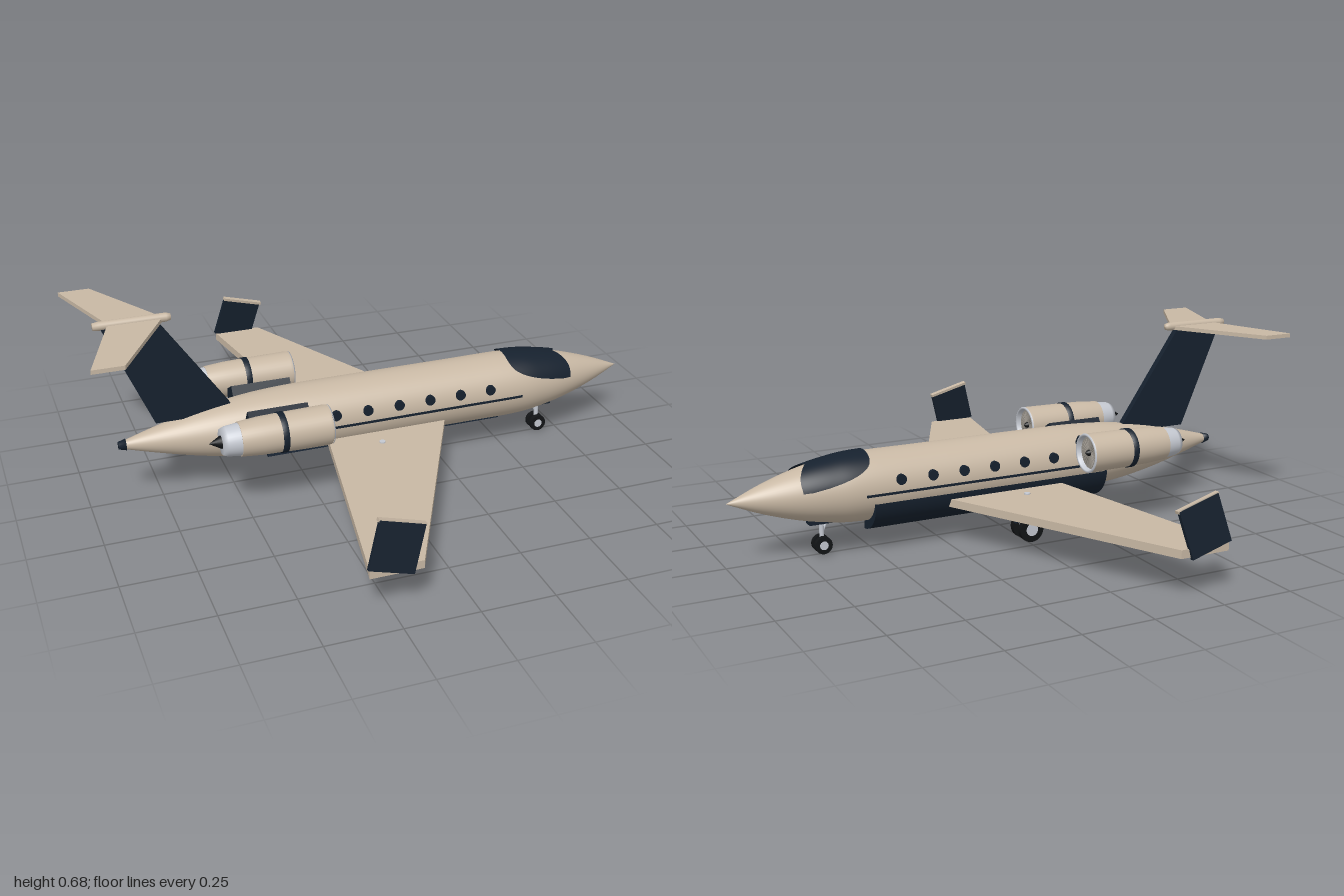
import * as THREE from 'three';

const mat = (color, side = THREE.FrontSide) => new THREE.MeshStandardMaterial({ color, side });
const tan = mat(0xc8b8a4), navy = mat(0x16212e), silver = mat(0xc4c8d0), black = mat(0x121416), grey = mat(0x9a948c);
const navyThin = mat(0x16212e, THREE.DoubleSide);
const AXIS_Y = 0.218;

export function createModel() {
  const model = new THREE.Group();
  model.name = 'businessJet';

  const add = (name, geo, material, x = 0, y = 0, z = 0, parent = model) => {
    const mesh = new THREE.Mesh(geo, material);
    mesh.name = name;
    mesh.position.set(x, y, z);
    parent.add(mesh);
    return mesh;
  };
  const box = (w, h, d) => new THREE.BoxGeometry(w, h, d);
  const vecs = (pts) => pts.map(([a, b]) => new THREE.Vector2(a, b));
  // Lathe along x from [x, radius] points running tail to nose
  const latheX = (pts, sides = 40) =>
    new THREE.LatheGeometry(pts.map(([x, r]) => new THREE.Vector2(r, x)), sides).rotateZ(-Math.PI / 2);
  const cylZ = (r, len, sides = 24) => new THREE.CylinderGeometry(r, r, len, sides).rotateX(Math.PI / 2);
  // Flat plate from [x, z] outline, hanging down from y = 0
  const plate = (pts, t) => new THREE.ExtrudeGeometry(new THREE.Shape(vecs(pts)),
    { depth: t, bevelEnabled: false }).rotateX(Math.PI / 2);
  // Round bar between two points
  const bar = (name, a, b, r, parent) => {
    const from = new THREE.Vector3(...a), to = new THREE.Vector3(...b);
    const dir = to.clone().sub(from), mid = from.clone().add(to).multiplyScalar(0.5);
    const m = add(name, new THREE.CylinderGeometry(r, r, dir.length(), 12), silver, mid.x, mid.y, mid.z, parent);
    m.quaternion.setFromUnitVectors(new THREE.Vector3(0, 1, 0), dir.normalize());
  };

  // Fuselage
  const hull = new THREE.SplineCurve(vecs([[-0.88, 0.012], [-0.75, 0.048], [-0.6, 0.083], [-0.45, 0.106],
    [-0.3, 0.116], [-0.1, 0.118], [0.3, 0.118], [0.54, 0.118], [0.65, 0.107], [0.76, 0.084], [0.88, 0.046], [0.99, 0.0005]]))
    .getPoints(66).map((p) => [p.x, p.y]);
  add('fuselage', latheX(hull, 48), tan, 0, AXIS_Y);
  add('tailTip', latheX([[-0.89, 0], [-0.89, 0.013], [-0.865, 0.02], [-0.865, 0]], 20), navy, 0, AXIS_Y);
  const hullRadius = (x) => {
    const i = Math.max(1, hull.findIndex((p) => p[0] >= x));
    const [a, b] = [hull[i - 1], hull[i]];
    return a[1] + (b[1] - a[1]) * (x - a[0]) / (b[0] - a[0]);
  };

  // Windscreen wrapped over the nose, its rear edge sweeping forward down the sides
  const screen = new THREE.PlaneGeometry(1, 1, 36, 14);
  const sp = screen.attributes.position;
  for (let i = 0; i < sp.count; i++) {
    const u = sp.getX(i) * 2, v = sp.getY(i) + 0.5, phi = u * 1.3;
    const back = 0.515 + 0.21 * Math.pow(Math.abs(u), 5);
    const front = 0.72 + 0.04 * Math.sin(Math.min(1, Math.abs(u) * 1.1) * Math.PI * 0.6);
    const x = back + (front - back) * v, r = hullRadius(x) + 0.007;
    sp.setXYZ(i, x, AXIS_Y + r * Math.cos(phi), r * Math.sin(phi));
  }
  screen.computeVertexNormals();
  add('windscreen', screen, navyThin);

  // Belly panel, wrapped under one side
  add('bellyPanel', new THREE.CylinderGeometry(0.122, 0.122, 0.89, 24, 1, false, Math.PI * 0.53, Math.PI * 0.45)
    .rotateZ(-Math.PI / 2), navyThin, 0.075, 0.191);
  // Fairing where the wings meet the body
  const fairing = add('wingFairing', new THREE.SphereGeometry(1, 32, 16), navy, 0.01, 0.135);
  fairing.scale.set(0.22, 0.033, 0.095);

  // Fin and T-tail
  add('fin', new THREE.ExtrudeGeometry(new THREE.Shape(vecs([[-0.915, 0.65], [-0.76, 0.285], [-0.5, 0.285],
    [-0.5, 0.315], [-0.73, 0.65]])), { depth: 0.024, bevelEnabled: false }), navy, 0, 0, -0.012);
  add('tailplane', plate([[-0.89, 0], [-1, 0.325], [-0.895, 0.325], [-0.71, 0], [-0.895, -0.325], [-1, -0.325]], 0.014),
    tan, 0, 0.662);
  add('tailBullet', latheX([[-0.94, 0], [-0.94, 0.012], [-0.92, 0.015], [-0.7, 0.015], [-0.685, 0.011], [-0.682, 0]], 20),
    tan, 0, 0.66);

  for (const s of [1, -1]) {
    const side = s > 0 ? 'left' : 'right';

    // Cabin windows and side stripe
    for (let i = 0; i < 6; i++) {
      add('cabinWindow', cylZ(0.018, 0.02), navy, -0.155 + i * 0.116, 0.255, s * 0.108);
    }
    add('sideStripe', box(0.93, 0.008, 0.012), navy, 0.085, 0.213, s * 0.115);

    // Wing
    add(side + 'Wing', plate([[0.275, 0.06 * s], [-0.15, 0.91 * s], [-0.325, 0.91 * s], [-0.175, 0.06 * s]], 0.028),
      tan, 0, 0.162);

    // Winglet leaning inwards with a light cap
    const winglet = new THREE.Group();
    winglet.name = side + 'Winglet';
    winglet.position.set(-0.237, 0.223, s * 0.902);
    winglet.rotation.set(-0.13 * s, 0, -0.27);
    model.add(winglet);
    add('wingletPanel', box(0.15, 0.16, 0.014), navy, 0, 0, 0, winglet);
    add('wingletCap', box(0.156, 0.01, 0.018), tan, 0, 0.079, -0.004 * s, winglet);

    // Engine
    const engine = new THREE.Group();
    engine.name = side + 'Engine';
    engine.position.set(0, 0.291, s * 0.224);
    model.add(engine);
    add('nacelle', latheX([[-0.53, 0], [-0.53, 0.057], [-0.53, 0.058], [-0.46, 0.064], [-0.38, 0.066],
      [-0.23, 0.068], [-0.222, 0.067]], 36), tan, 0, 0, 0, engine);
    add('intakeLip', latheX([[-0.222, 0.069], [-0.217, 0.066], [-0.219, 0.06], [-0.24, 0.056]], 36), silver, 0, 0, 0, engine);
    add('fanFace', new THREE.CircleGeometry(0.058, 36).rotateY(Math.PI / 2), grey, -0.235, 0, 0, engine);
    for (let i = 0; i < 12; i++) {
      const blade = add('fanBlade', box(0.003, 0.1, 0.003), grey, -0.234, 0, 0, engine);
      blade.rotation.x = i * Math.PI / 12;
    }
    add('spinner', latheX([[-0.235, 0.012], [-0.225, 0.009], [-0.216, 0.0005]], 20), black, 0, 0, 0, engine);
    add('nacelleBand', latheX([[-0.395, 0.06], [-0.395, 0.069], [-0.375, 0.069], [-0.375, 0.06]], 36), navy, 0, 0, 0, engine);
    add('exhaustNozzle', latheX([[-0.59, 0], [-0.59, 0.044], [-0.575, 0.05], [-0.53, 0.055]], 36), silver, 0, 0, 0, engine);
    add('exhaustCone', latheX([[-0.63, 0.0005], [-0.588, 0.024]], 24), black, 0, 0, 0, engine);
    const pylon = add(side + 'Pylon', box(0.212, 0.045, 0.085), navy, -0.362, 0.28, s * 0.128);
    pylon.rotation.x = 0.55 * s;

    // Main landing gear
    const gear = new THREE.Group();
    gear.name = side + 'MainGear';
    gear.position.set(-0.012, 0, s * 0.182);
    model.add(gear);
    bar('mainStrut', [0, 0.045, 0], [0, 0.166, 0], 0.011, gear);
    bar('mainAxle', [0, 0.045, -0.028], [0, 0.045, 0.028], 0.008, gear);
    bar('sideBrace', [0, 0.14, -0.02 * s], [0, 0.077, -0.068 * s], 0.006, gear);
    add('gearDoor', box(0.12, 0.065, 0.01), navy, 0, 0.105, 0.022 * s, gear);
    for (const w of [1, -1]) {
      add('mainTyre', cylZ(0.044, 0.02, 28), black, 0, 0.044, 0.028 * w, gear);
      add('mainHub', cylZ(0.022, 0.023), silver, 0, 0.044, 0.028 * w, gear);
    }

    // Nose wheel of this side
    add('noseTyre', cylZ(0.03, 0.016, 28), black, 0.67, 0.034, s * 0.015);
    add('noseHub', cylZ(0.015, 0.019), silver, 0.67, 0.034, s * 0.015);
  }

  // Nose landing gear
  bar('noseStrut', [0.67, 0.034, 0], [0.67, 0.13, 0], 0.008, model);
  bar('noseBrace', [0.672, 0.065, 0], [0.645, 0.125, 0], 0.004, model);
  bar('noseAxle', [0.67, 0.034, -0.02], [0.67, 0.034, 0.02], 0.006, model);
  add('noseGearDoor', box(0.09, 0.022, 0.04), navy, 0.672, 0.12);

  return model;
}
